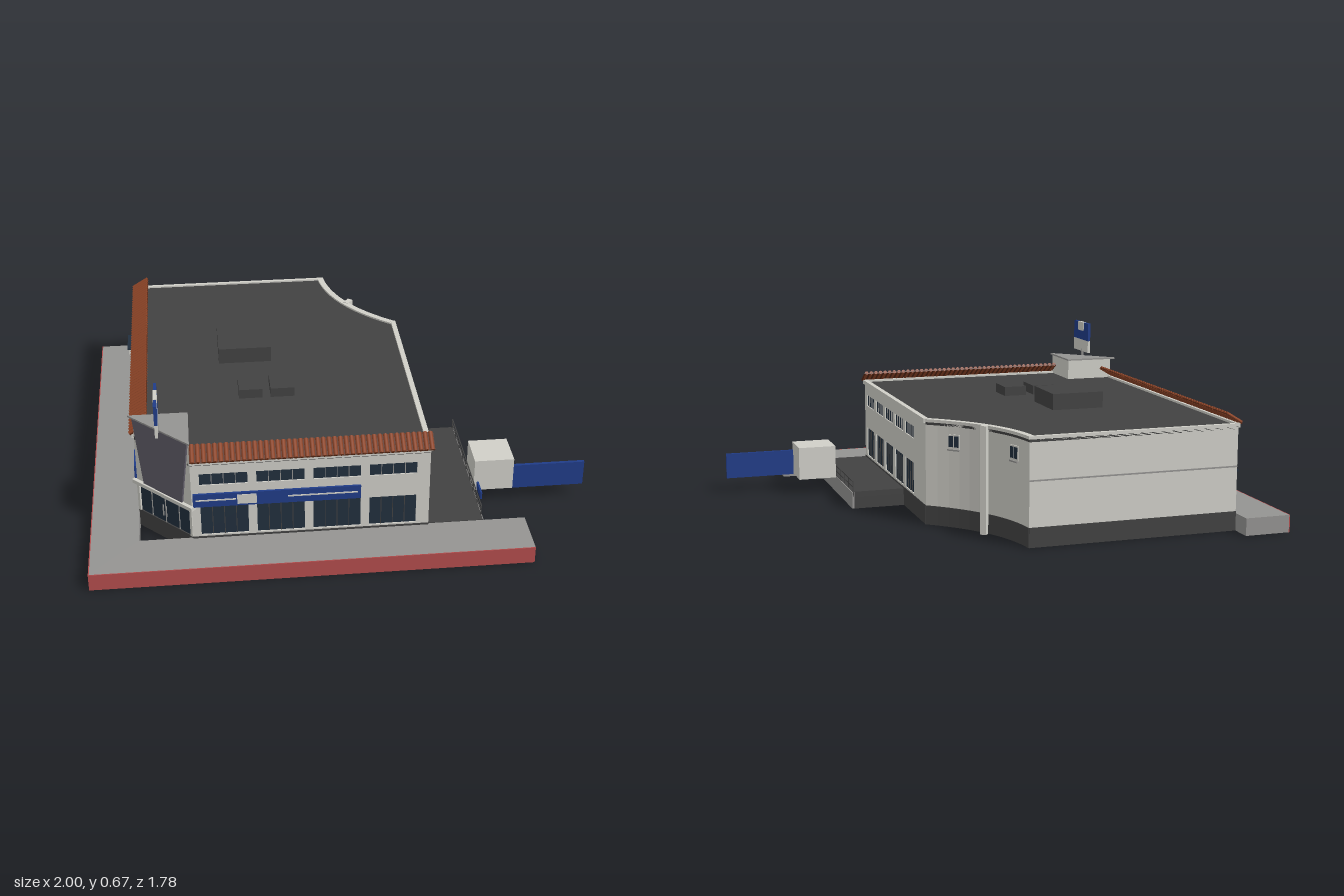
import * as THREE from 'three';

const mat = (name, color) => {
  const m = new THREE.MeshStandardMaterial({ color });
  m.name = name;
  return m;
};

export function createModel() {
  const white = mat('off-white wall', 0xd0cfc8);
  const grey = mat('concrete grey', 0x949391);
  const dark = mat('dark roof grey', 0x424242);
  const red = mat('kerb red', 0xb34d4d);
  const blue = mat('sign blue', 0x203c88);
  const glass = mat('window glass', 0x222f3e);
  const tile = mat('roof tile', 0x8f4527);
  const tileDark = mat('tile shadow brown', 0x5a2a17);
  const slate = mat('slate panel', 0x615d69);

  const model = new THREE.Group();
  model.name = 'cornerBuilding';

  const add = (parent, name, geo, m) => {
    const mesh = new THREE.Mesh(geo, m);
    mesh.name = name;
    parent.add(mesh);
    return mesh;
  };
  // box given by its min and max on each axis
  const box = (parent, name, m, x0, x1, y0, y1, z0, z1) => {
    const b = add(parent, name, new THREE.BoxGeometry(x1 - x0, y1 - y0, z1 - z0), m);
    b.position.set((x0 + x1) / 2, (y0 + y1) / 2, (z0 + z1) / 2);
    return b;
  };
  // horizontal slab from [x, z] points
  const slab = (parent, name, m, pts, y0, y1) => {
    const shape = new THREE.Shape(pts.map(([x, z]) => new THREE.Vector2(x, -z)));
    const geo = new THREE.ExtrudeGeometry(shape, { depth: y1 - y0, bevelEnabled: false });
    geo.rotateX(-Math.PI / 2).translate(0, y0, 0);
    return add(parent, name, geo, m);
  };
  // group whose x runs from a to b along the ground, with +z outwards
  const side = (name, a, b) => {
    const g = new THREE.Group();
    g.name = name;
    g.position.set(a[0], 0, a[1]);
    g.rotation.y = Math.atan2(a[1] - b[1], b[0] - a[0]);
    g.userData.length = Math.hypot(b[0] - a[0], b[1] - a[1]);
    model.add(g);
    return g;
  };
  // wall with rectangular openings [u0, u1, y0, y1] and a dark plinth
  const T = 0.012, BASE = 0.078, TOP = 0.42;
  const wall = (g, openings = [], top = TOP) => {
    const L = g.userData.length;
    const rect = (P, u0, u1, y0, y1) => new P([[u0, y0], [u1, y0], [u1, y1], [u0, y1]]
      .map(([x, y]) => new THREE.Vector2(x, y)));
    const shape = rect(THREE.Shape, 0, L, BASE, top);
    openings.forEach(o => shape.holes.push(rect(THREE.Path, ...o)));
    const geo = new THREE.ExtrudeGeometry(shape, { depth: T, bevelEnabled: false });
    add(g, 'wall', geo.translate(0, 0, -T), white);
    box(g, 'plinth', dark, 0, L, 0, BASE, -T, 0.002);
  };
  const glazing = (g, u0, u1, y0, y1, panes, frame) => {
    box(g, 'glass', glass, u0, u1, y0, y1, -0.009, -0.005);
    for (let i = 1; i < panes; i++) {
      const u = u0 + (u1 - u0) * i / panes;
      box(g, 'mullion', frame, u - 0.0015, u + 0.0015, y0, y1, -0.005, -0.002);
    }
  };
  // facade of repeated bays: a strip window above, shopfront glass below
  const facade = (g, bays, signed) => {
    const openings = [];
    bays.forEach(([u0, u1], i) => {
      openings.push([u0, u1, 0.315, 0.366], [u0, u1, 0.085, signed(i) ? 0.272 : 0.214]);
    });
    wall(g, openings);
    bays.forEach(([u0, u1]) => {
      glazing(g, u0, u1, 0.315, 0.366, 4, grey);
      glazing(g, u0, u1, 0.085, 0.214, 4, dark);
    });
    box(g, 'cornice', white, 0, g.userData.length, 0.412, 0.43, -T, 0.008);
  };

  // pavement with red kerb faces
  slab(model, 'pavement', grey, [[-0.996, -0.89], [-0.81, -0.89], [-0.81, 0.69], [0.71, 0.69],
    [0.71, 0.886], [-0.996, 0.886]], 0, 0.07);
  box(model, 'frontKerb', red, -1, 0.71, 0, 0.07, 0.886, 0.89);
  box(model, 'sideKerb', red, -1, -0.996, 0, 0.07, -0.89, 0.886);

  // building outline
  const A = [-0.81, 0.485], B = [-0.6, 0.695], C = [0.322, 0.695];
  const D = [0.322, -0.34], E = [0.05, -0.8], F = [-0.81, -0.8];
  const curve = new THREE.QuadraticBezierCurve(new THREE.Vector2(...D),
    new THREE.Vector2(0.075, -0.53), new THREE.Vector2(...E));
  const arc = curve.getPoints(12).map(p => [p.x, p.y]);
  slab(model, 'flatRoof', dark, [A, B, C, ...arc, F], 0.405, 0.421);

  // front facade and its sign band
  const front = side('frontFacade', B, C);
  facade(front, [0, 1, 2, 3].map(i => [0.033 + i * 0.218, 0.217 + i * 0.218]), i => i < 3);
  box(front, 'signBand', blue, 0.005, 0.653, 0.22, 0.278, 0, 0.009);
  box(front, 'signBlock', white, 0.175, 0.25, 0.228, 0.27, 0.009, 0.011);
  box(front, 'signStripe', white, 0.015, 0.17, 0.248, 0.254, 0.009, 0.011);
  box(front, 'signStripe', white, 0.37, 0.64, 0.248, 0.254, 0.009, 0.011);

  // right-hand facade beside the terrace
  const right = side('terraceFacade', C, D);
  facade(right, [0, 1, 2, 3, 4].map(i => [0.038 + i * 0.17, 0.171 + i * 0.17]), () => false);

  // long street facade with sign band, rear door sign and awning
  const left = side('streetFacade', F, A);
  facade(left, [0, 1, 2, 3, 4, 5].map(i => [0.022 + i * 0.213, 0.2 + i * 0.213]), i => i > 2);
  box(left, 'signBand', blue, 0.645, 1.28, 0.22, 0.278, 0, 0.009);
  box(left, 'signBlock', white, 0.925, 1.0, 0.228, 0.27, 0.009, 0.011);
  box(left, 'signStripe', white, 0.67, 0.88, 0.248, 0.254, 0.009, 0.011);
  box(left, 'doorSign', blue, 0.03, 0.21, 0.228, 0.278, 0, 0.009);
  box(left, 'awning', glass, 0.09, 0.22, 0.215, 0.223, 0, 0.055);
  box(left, 'awningBoard', white, 0.1, 0.21, 0.185, 0.215, 0.02, 0.05);

  // plain back wall with a shadow joint
  const back = side('backWall', E, F);
  wall(back);
  box(back, 'joint', grey, 0, back.userData.length, 0.255, 0.261, 0, 0.003);
  box(back, 'coping', white, 0, back.userData.length, 0.416, 0.428, -T, 0.004);

  // concave corner built from short wall strips
  for (let i = 0; i < arc.length - 1; i++) {
    const g = side('curvedWall', arc[i], arc[i + 1]);
    const L = g.userData.length;
    wall(g);
    box(g, 'coping', white, -0.002, L + 0.002, 0.416, 0.428, -0.022, 0.004);
    if (i === 2 || i === 9) {
      const c = L / 2;
      box(g, 'windowFrame', white, c - 0.026, c + 0.026, 0.315, 0.375, 0, 0.004);
      for (const s of [-1, 1]) {
        const m = c + s * 0.012;
        box(g, 'windowPane', glass, m - 0.01, m + 0.01, 0.325, 0.369, 0.004, 0.006);
      }
      box(g, 'windowSill', grey, c - 0.026, c + 0.026, 0.31, 0.316, 0, 0.009);
    }
  }
  const pier = box(model, 'curvePier', white, -0.02, 0.02, 0, 0.43, -0.012, 0.012);
  pier.position.set(0.143, 0.215, -0.55);
  pier.rotation.y = 0.87;

  // tiled eaves: sloping sheet with round ridges
  const eave = (g, u0, u1) => {
    const run = 0.066, rise = 0.04, len = Math.hypot(run, rise);
    const roof = new THREE.Group();
    roof.name = 'tiledEave';
    roof.position.set(0, 0.448, -0.017);
    roof.rotation.x = Math.atan2(rise, run);
    g.add(roof);
    box(roof, 'tileSheet', tileDark, u0, u1, -0.004, 0.001, -len / 2, len / 2);
    const n = Math.round((u1 - u0) / 0.022), step = (u1 - u0) / n;
    const ridge = new THREE.CylinderGeometry(step * 0.38, step * 0.38, len, 8).rotateX(Math.PI / 2);
    for (let i = 0; i < n; i++) {
      add(roof, 'tileRidge', ridge, tile).position.set(u0 + (i + 0.5) * step, 0.001, 0);
    }
  };
  eave(front, 0, 0.935);
  eave(left, 0, 1.285);

  // corner tower: triangular shaft over a glazed entrance
  slab(model, 'towerShaft', white, [A, B, [-0.6, 0.485]], 0.215, 0.507);
  slab(model, 'towerCap', grey, [[-0.83, 0.482], [-0.597, 0.482], [-0.597, 0.713]], 0.507, 0.514);
  const entry = side('cornerEntrance', A, B);
  const W = entry.userData.length;
  box(entry, 'plinth', dark, 0, W, 0, BASE, -T, 0);
  glazing(entry, 0, W, BASE, 0.205, 4, grey);
  box(entry, 'doorRail', grey, 0, W, 0.196, 0.202, -0.005, 0);
  for (const u of [0.006, W - 0.006]) {
    box(entry, 'jamb', white, u - 0.006, u + 0.006, BASE, 0.21, -T, 0.003);
  }
  for (const s of [-1, 1]) {
    box(entry, 'doorHandle', grey, W / 2 + s * 0.008 - 0.002, W / 2 + s * 0.008 + 0.002, 0.11, 0.16, 0, 0.004);
  }
  box(entry, 'ledge', white, -0.012, W + 0.012, 0.207, 0.223, -T, 0.015);
  const panel = new THREE.Shape([[0.045, 0.223], [W - 0.045, 0.223], [W - 0.002, 0.507], [0.002, 0.507]]
    .map(([x, y]) => new THREE.Vector2(x, y)));
  add(entry, 'slatePanel', new THREE.ExtrudeGeometry(panel, { depth: 0.008, bevelEnabled: false }), slate);

  // sign on the tower
  const pole = add(model, 'signPole', new THREE.CylinderGeometry(0.007, 0.007, 0.04, 10), grey);
  pole.position.set(-0.715, 0.525, 0.6);
  box(model, 'signLower', white, -0.721, -0.709, 0.535, 0.59, 0.517, 0.692);
  box(model, 'signUpper', blue, -0.721, -0.709, 0.59, 0.672, 0.517, 0.692);
  box(model, 'signInset', white, -0.7225, -0.7075, 0.632, 0.6725, 0.57, 0.64);

  // rooftop plant
  box(model, 'largeRoofUnit', dark, -0.46, -0.24, 0.42, 0.488, -0.272, -0.05);
  box(model, 'smallRoofUnit', dark, -0.39, -0.295, 0.42, 0.46, 0.122, 0.245);
  box(model, 'smallRoofUnit', dark, -0.262, -0.165, 0.42, 0.46, 0.122, 0.245);

  // terrace with railing
  box(model, 'terrace', dark, 0.322, 0.542, 0.05, 0.072, 0, 0.69);
  box(model, 'terraceEdge', grey, 0.536, 0.545, 0, 0.07, 0, 0.69);
  box(model, 'terraceEnd', dark, 0.322, 0.536, 0, 0.05, 0, 0.01);
  for (const y of [0.09, 0.113]) box(model, 'rail', dark, 0.538, 0.542, y, y + 0.004, 0.005, 0.66);
  for (let i = 0; i <= 8; i++) {
    const z = 0.007 + i * 0.081;
    box(model, 'railPost', dark, 0.538, 0.542, 0.07, 0.117, z - 0.002, z + 0.002);
  }
  box(model, 'railSign', blue, 0.542, 0.549, 0.122, 0.152, 0.54, 0.62);

  // gate house and blue boundary panel
  box(model, 'gateHouse', white, 0.545, 0.706, 0.065, 0.205, 0.32, 0.475);
  box(model, 'boundaryPanel', blue, 0.706, 1, 0.062, 0.17, 0.457, 0.47);

  return model;
}
